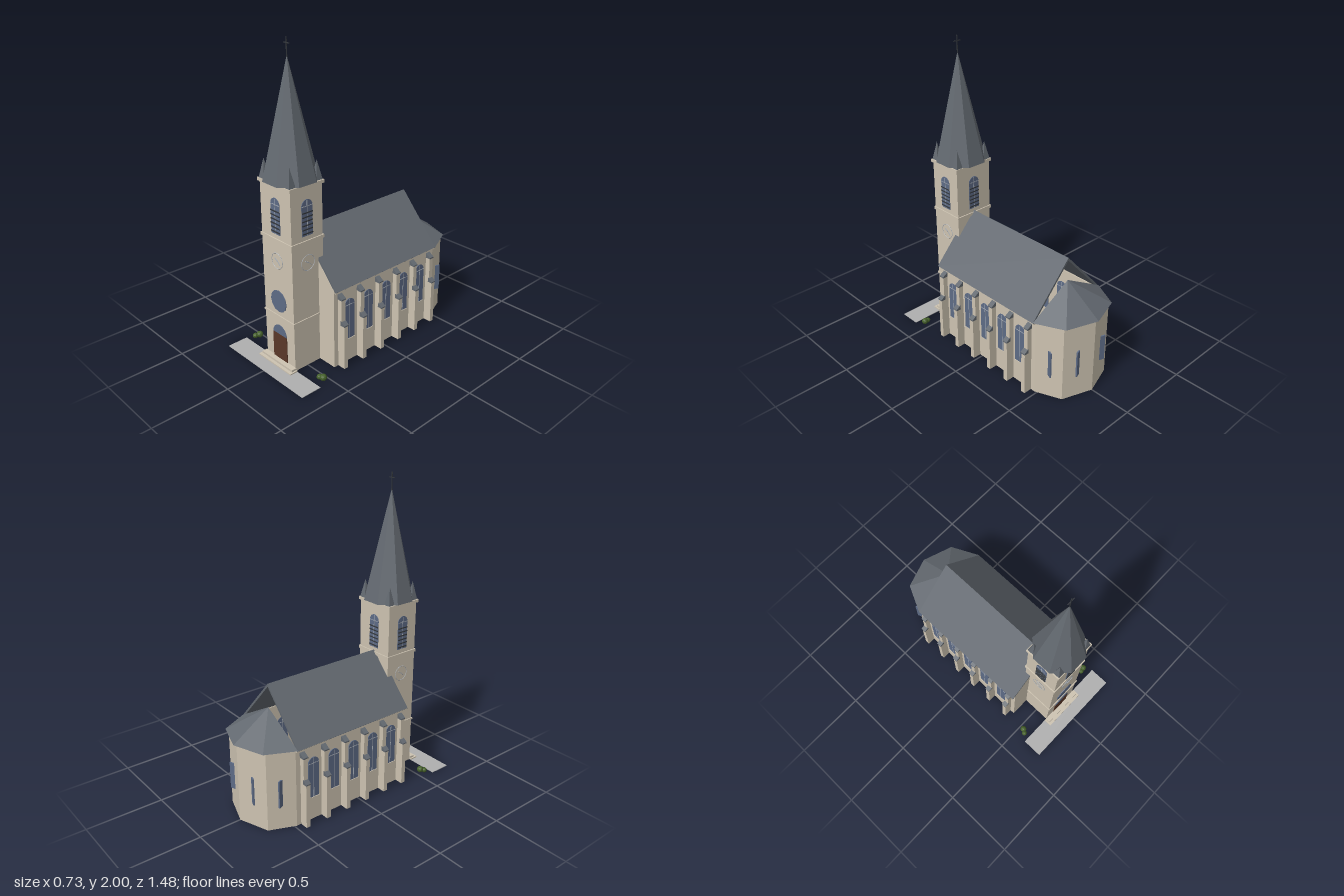
import * as THREE from 'three';

const mat = (name, color, side = THREE.FrontSide) => {
  const m = new THREE.MeshStandardMaterial({ color, side, flatShading: true });
  m.name = name;
  return m;
};

export function createModel() {
  const root = new THREE.Group();
  root.name = 'church';
  const stone = mat('stone', 0xcdc3b1, THREE.DoubleSide);
  const slate = mat('slate', 0x636970, THREE.DoubleSide);
  const glass = mat('glass', 0x5d6b86);
  const wood = mat('doorWood', 0x5a3828);
  const iron = mat('iron', 0x34383d);
  const paving = mat('paving', 0xafafaf);
  const bars = mat('windowBars', 0xaab0b8);
  const leaf = mat('leaf', 0x45602a);

  const add = (name, geo, material, x = 0, y = 0, z = 0, parent = root) => {
    const m = new THREE.Mesh(geo, material);
    m.name = name;
    m.position.set(x, y, z);
    parent.add(m);
    return m;
  };
  const box = (name, w, h, d, material, x, y, z, parent) =>
    add(name, new THREE.BoxGeometry(w, h, d), material, x, y, z, parent);
  const group = (name, x, y, z, ry = 0, parent = root) => {
    const g = new THREE.Group();
    g.name = name;
    g.position.set(x, y, z);
    g.rotation.y = ry;
    parent.add(g);
    return g;
  };
  const surface = (positions) => {
    const g = new THREE.BufferGeometry();
    g.setAttribute('position', new THREE.Float32BufferAttribute(positions, 3));
    g.computeVertexNormals();
    return g;
  };
  // Vertical walls along a plan outline of [x, z] points
  const walls = (pts, y0, y1) => {
    const p = [];
    for (let i = 0; i < pts.length - 1; i++) {
      const [a, b] = pts[i], [c, d] = pts[i + 1];
      p.push(a, y0, b, c, y0, d, c, y1, d, a, y0, b, c, y1, d, a, y1, b);
    }
    return surface(p);
  };
  // Thin plate centred on its wall plane
  const plate = (shape, t = 0.008) =>
    new THREE.ExtrudeGeometry(shape, { depth: t, bevelEnabled: false, curveSegments: 8 }).translate(0, 0, -t / 2);
  const polygon = (pts) => new THREE.Shape(pts.map(([x, y]) => new THREE.Vector2(x, y)));
  const arch = (r, h) => {
    const s = new THREE.Shape();
    s.moveTo(-r, 0);
    s.lineTo(r, 0);
    s.lineTo(r, h - r);
    s.absarc(0, h - r, r, 0, Math.PI, false);
    s.closePath();
    return s;
  };

  // Nave and apse walls, open underneath
  const right = [[0.27, 0.395], [0.27, -0.485], [0.2, -0.65], [0, -0.72]];
  const left = right.slice(0, 3).reverse().map(([x, z]) => [-x, z]);
  add('naveWalls', walls([...right, ...left], 0, 0.53), stone);
  add('frontGable', plate(polygon([[-0.27, 0], [0.27, 0], [0.27, 0.53], [0, 0.83], [-0.27, 0.53]])), stone, 0, 0, 0.395);

  // Nave roof, open at the rear gable
  const chevron = polygon([[-0.295, 0.528], [-0.285, 0.52], [0, 0.835], [0.285, 0.52], [0.295, 0.528], [0, 0.855]]);
  add('naveRoof', new THREE.ExtrudeGeometry(chevron, { depth: 0.885, bevelEnabled: false }), slate, 0, 0, -0.485);

  // Faceted apse roof
  const eave = [[0.295, -0.485], [0.205, -0.67], [0, -0.74], [-0.205, -0.67], [-0.295, -0.485]];
  const fan = [];
  for (let i = 0; i < 4; i++) fan.push(eave[i][0], 0.53, eave[i][1], eave[i + 1][0], 0.53, eave[i + 1][1], 0, 0.7, -0.485);
  add('apseRoof', surface(fan), slate);

  // Side windows, buttresses and cornices
  for (const s of [-1, 1]) {
    box('eavesCornice', 0.018, 0.015, 0.88, stone, s * 0.277, 0.52, -0.045);
    for (let i = 0; i < 5; i++) {
      const w = group('sideWindow', s * 0.271, 0.16, 0.275 - i * 0.158, s * Math.PI / 2);
      add('pane', plate(arch(0.04, 0.275)), glass, 0, 0, 0, w);
      box('mullion', 0.004, 0.27, 0.01, bars, 0, 0.135, 0, w);
      box('crossBar', 0.078, 0.004, 0.01, bars, 0, 0.235, 0, w);
      box('sill', 0.084, 0.006, 0.016, stone, 0, -0.003, 0, w);
    }
    for (let i = 0; i < 6; i++) {
      const b = group('buttress', s * 0.27, 0, 0.352 - i * 0.158, s > 0 ? 0 : Math.PI);
      box('lowerPier', 0.056, 0.295, 0.03, stone, 0.028, 0.1475, 0, b);
      box('upperPier', 0.033, 0.17, 0.03, stone, 0.0165, 0.38, 0, b);
      for (const [x0, x1, y] of [[0.026, 0.06, 0.295], [0, 0.037, 0.465]]) {
        const cap = polygon([[x0, y], [x1, y], [x1, y + 0.008], [x0, y + 0.032]]);
        add('slopedCap', plate(cap, 0.035), slate, 0, 0, 0, b);
      }
    }
    // Apse windows, one on each face
    for (const [[ax, az], [bx, bz]] of [[right[1], right[2]], [right[2], right[3]]]) {
      const ry = Math.atan2(s * (az - bz), ax - bx);
      const w = group('apseWindow', s * (ax + bx) / 2, 0.25, (az + bz) / 2, ry);
      box('pane', 0.06, 0.18, 0.009, glass, 0, 0, 0, w);
    }
  }

  // Tower shaft and string courses
  const tz = 0.48, hx = 0.137, hz = 0.118;
  const tower = group('tower', 0, 0, tz);
  add('shaft', walls([[hx, hz], [hx, -hz], [-hx, -hz], [-hx, hz], [hx, hz]], 0, 1.19), stone, 0, 0, 0, tower);
  for (const [y, h, o] of [[0.325, 0.012, 0.006], [0.835, 0.02, 0.007], [1.18, 0.02, 0.01]])
    box('stringCourse', 2 * (hx + o), h, 2 * (hz + o), stone, 0, y, 0, tower);

  // Belfry openings on four sides, clocks on the three clear sides
  for (let k = 0; k < 4; k++) {
    const d = k % 2 ? hx : hz;
    const a = k * Math.PI / 2;
    const f = group('towerFace', Math.sin(a) * d, 0, Math.cos(a) * d, a, tower);
    add('belfryPane', plate(arch(0.04, 0.225)), glass, 0, 0.875, 0, f);
    box('belfryMullion', 0.004, 0.22, 0.01, bars, 0, 0.985, 0, f);
    box('belfryBar', 0.078, 0.004, 0.01, bars, 0, 1.06, 0, f);
    for (let i = 0; i < 6; i++) box('louvre', 0.078, 0.007, 0.016, iron, 0, 0.89 + i * 0.026, 0, f);
    if (k === 2) continue;
    add('clockRing', new THREE.TorusGeometry(0.05, 0.002, 4, 28), bars, 0, 0.7, 0.002, f);
    const hour = box('hourHand', 0.026, 0.004, 0.004, bars, -0.011, 0.707, 0.002, f);
    hour.rotation.z = -0.6;
    const minute = box('minuteHand', 0.04, 0.003, 0.004, bars, 0.012, 0.691, 0.002, f);
    minute.rotation.z = -0.75;
  }

  // Entrance front
  const front = group('entrance', 0, 0, hz, 0, tower);
  box('door', 0.13, 0.175, 0.009, wood, 0, 0.112, 0, front);
  const lunette = new THREE.Shape();
  lunette.absarc(0, 0, 0.063, 0, Math.PI, false);
  add('lunette', plate(lunette), glass, 0, 0.2, 0, front);
  const rose = add('roseWindow', new THREE.CylinderGeometry(0.072, 0.072, 0.009, 12), glass, 0, 0.43, 0, front);
  rose.rotation.x = Math.PI / 2;
  box('lowerStep', 0.31, 0.012, 0.055, stone, 0, 0.006, 0.0275, front);
  box('upperStep', 0.29, 0.025, 0.035, stone, 0, 0.0125, 0.0175, front);

  // Octagonal spire with corner pinnacles
  const spire = new THREE.CylinderGeometry(0, 0.168, 0.71, 8).rotateY(Math.PI / 8);
  add('spire', spire, slate, 0, 1.545, 0, tower);
  for (const x of [-1, 1]) for (const z of [-1, 1]) {
    const p = new THREE.ConeGeometry(0.033, 0.12, 4).rotateY(Math.PI / 4);
    add('pinnacle', p, slate, x * 0.115, 1.25, z * 0.1, tower);
  }

  // Finial cross
  box('crossPost', 0.005, 0.12, 0.005, iron, 0, 1.94, 0, tower);
  box('crossArm', 0.05, 0.005, 0.005, iron, 0, 1.965, 0, tower);

  // Forecourt and shrubs
  box('forecourt', 0.73, 0.004, 0.14, paving, 0, 0.002, 0.667);
  for (const [x, dx, dz] of [[-0.317, 0.008, -0.012], [0.313, 0.014, -0.003]]) {
    const shrub = group('shrub', x, 0, 0.543);
    add('bigClump', new THREE.IcosahedronGeometry(0.022, 1), leaf, dx, 0.026, dz, shrub);
    add('smallClump', new THREE.IcosahedronGeometry(0.018, 1), leaf, -dx, 0.019, -dz, shrub);
  }
  return root;
}
